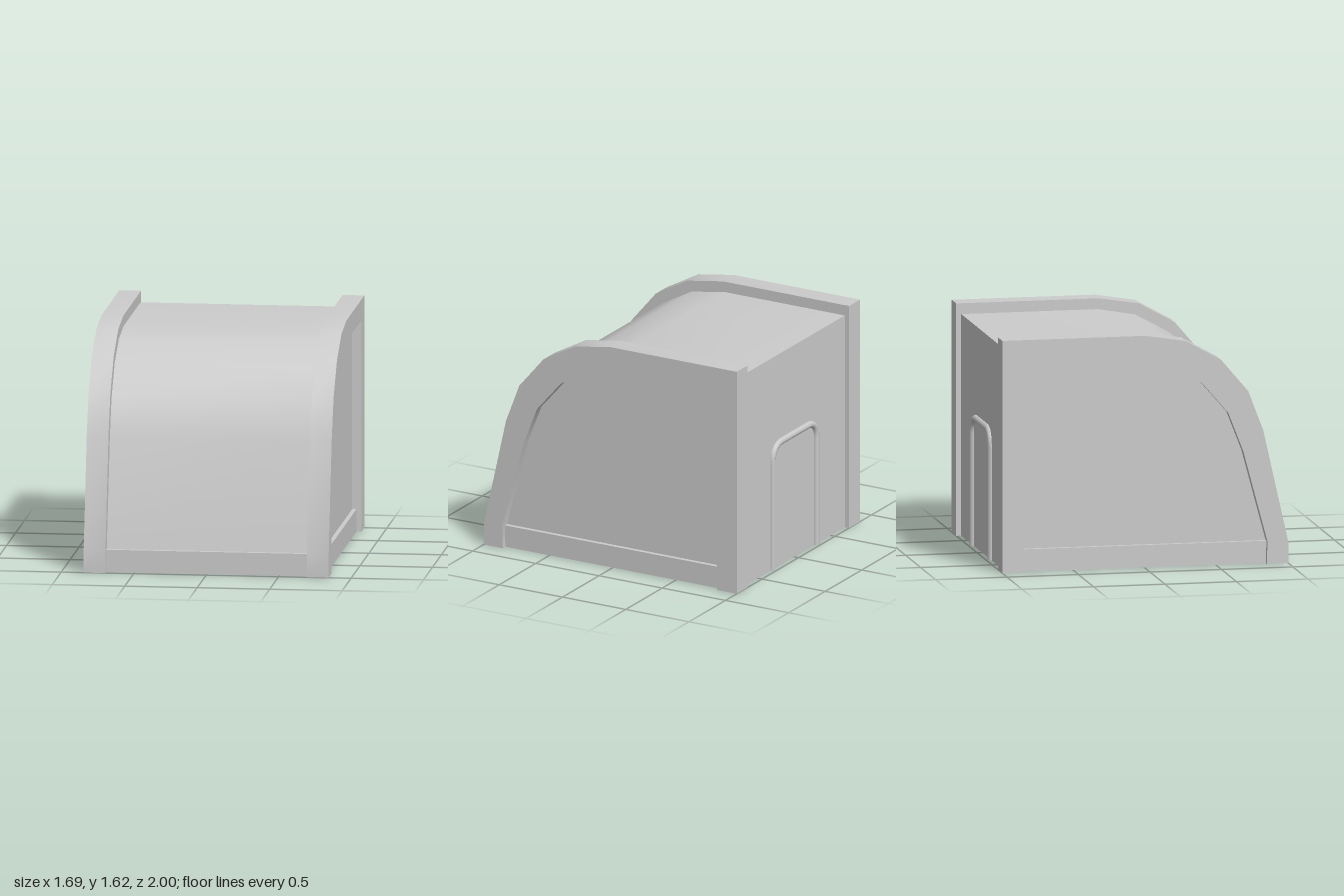
import * as THREE from 'three';
import { toCreasedNormals } from 'three/addons/utils/BufferGeometryUtils.js';

const material = new THREE.MeshStandardMaterial({ color: 0xcccccc });

function addMesh(parent, name, geometry) {
  const mesh = new THREE.Mesh(geometry, material);
  mesh.name = name;
  parent.add(mesh);
  return mesh;
}

// Extrudes a [z, y] outline along x, centred on x = 0
function extrudeAcross(points, width) {
  const shape = new THREE.Shape(points.map(([z, y]) => new THREE.Vector2(z, y)));
  const geometry = new THREE.ExtrudeGeometry(shape, { depth: width, bevelEnabled: false });
  geometry.translate(0, 0, -width / 2);
  geometry.rotateY(-Math.PI / 2);
  return toCreasedNormals(geometry, 0.5);
}

export function createModel() {
  const group = new THREE.Group();
  group.name = 'curvedShelter';

  // Body: side panels, curved front and roof, flat back
  const bodyOutline = [
    [0.958, 0], [0.925, 0.155], [0.75, 0.9], [0.655, 1.16], [0.48, 1.37],
    [0.25, 1.495], [-0.01, 1.54], [-0.965, 1.54], [-0.965, 0],
  ];
  addMesh(group, 'body', extrudeAcross(bodyOutline, 1.56));

  // Base sill, standing out slightly at the front and sides
  const sill = addMesh(group, 'baseSill', new THREE.BoxGeometry(1.62, 0.155, 1.86));
  sill.position.set(0, 0.0775, 0.03);

  // Side frames: thick arched bands, open at the bottom
  const outer = [
    [1, 0], [1, 0.15], [0.825, 0.93], [0.72, 1.205], [0.53, 1.43],
    [0.28, 1.57], [0, 1.615], [-1, 1.615], [-1, 0],
  ];
  const inner = [
    [-0.845, 0], [-0.845, 1.47], [-0.155, 1.47], [0.135, 1.42], [0.39, 1.28],
    [0.58, 1.06], [0.685, 0.79], [0.855, 0.155], [0.85, 0],
  ];
  const frameGeometry = extrudeAcross([...outer, ...inner], 0.15);
  for (const side of [-1, 1]) {
    const frame = addMesh(group, side > 0 ? 'leftFrame' : 'rightFrame', frameGeometry);
    frame.position.x = side * 0.77;
  }

  // Door surround: rounded tube arch half sunk into the back wall
  const half = 0.3, top = 0.9, r = 0.12;
  const v = (x, y) => new THREE.Vector3(x, y, 0);
  const path = new THREE.CurvePath();
  path.add(new THREE.LineCurve3(v(-half, 0), v(-half, top - r)));
  path.add(new THREE.QuadraticBezierCurve3(v(-half, top - r), v(-half, top), v(-half + r, top)));
  path.add(new THREE.LineCurve3(v(-half + r, top), v(half - r, top)));
  path.add(new THREE.QuadraticBezierCurve3(v(half - r, top), v(half, top), v(half, top - r)));
  path.add(new THREE.LineCurve3(v(half, top - r), v(half, 0)));
  const arch = addMesh(group, 'doorSurround', new THREE.TubeGeometry(path, 80, 0.025, 8));
  arch.position.z = -0.965;

  return group;
}
